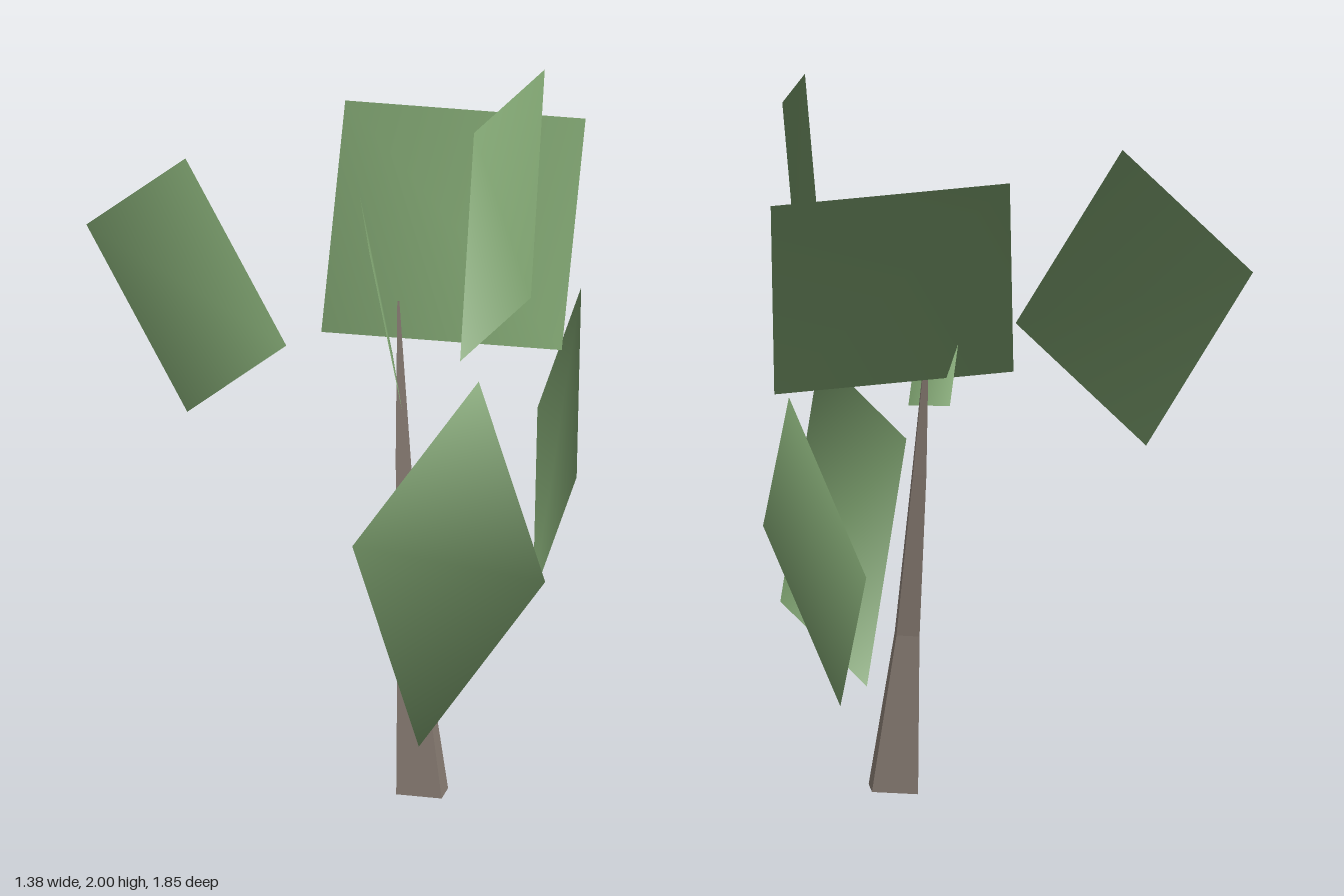
import * as THREE from 'three';

const leafMat = new THREE.MeshStandardMaterial({ name: 'leafGreen', color: 0x7a9d6c, side: THREE.DoubleSide });
const barkMat = new THREE.MeshStandardMaterial({ name: 'barkBrown', color: 0x857970, flatShading: true, side: THREE.DoubleSide });

// Leaf normals fan out from this point on the trunk for soft foliage shading
const heart = new THREE.Vector3(0.165, 0.75, 0.102);

// Flat parallelogram leaf from one corner and its two neighbours, split along the diagonal from that corner
function leaf(name, corner, a, b) {
  const o = new THREE.Vector3(...corner);
  const u = new THREE.Vector3(...a).sub(o);
  const v = new THREE.Vector3(...b).sub(o);
  const geo = new THREE.PlaneGeometry(1, 1);
  const { position, normal } = geo.attributes;
  for (let i = 0; i < position.count; i++) {
    const p = o.clone().addScaledVector(u, position.getX(i) + 0.5).addScaledVector(v, position.getY(i) + 0.5);
    position.setXYZ(i, p.x, p.y, p.z);
    p.sub(heart).normalize();
    normal.setXYZ(i, p.x, p.y, p.z);
  }
  const mesh = new THREE.Mesh(geo, leafMat);
  mesh.name = name;
  return mesh;
}

// Leaning four-sided trunk, open at the ends, lofted through [x, y, z, size] rings
function trunk() {
  const rings = [
    [0.207, 0.005, 0.203, 1],
    [0.176, 0.45, 0.168, 0.5],
    [0.16, 0.92, 0.1, 0.29],
    [0.15, 1.35, 0.042, 0.04],
  ];
  const section = [[-0.077, 0.054], [0.047, 0.075], [0.073, -0.052], [-0.053, -0.073]];
  const pts = [];
  for (const [x, y, z, s] of rings)
    section.forEach(([dx, dz], i) => pts.push(x + dx * s, y + (i % 2 ? -0.005 : 0.005) * s, z + dz * s));
  const idx = [];
  for (let r = 0; r < rings.length - 1; r++)
    for (let i = 0; i < 4; i++) {
      const a = r * 4 + i, b = r * 4 + (i + 1) % 4;
      idx.push(a, b, b + 4, a, b + 4, a + 4);
    }
  const geo = new THREE.BufferGeometry();
  geo.setAttribute('position', new THREE.Float32BufferAttribute(pts, 3));
  geo.setIndex(idx);
  geo.computeVertexNormals();
  const mesh = new THREE.Mesh(geo, barkMat);
  mesh.name = 'trunk';
  return mesh;
}

export function createModel() {
  const tree = new THREE.Group();
  tree.name = 'tree';
  tree.add(
    trunk(),
    leaf('backTopLeaf', [0.03, 1.85, -0.365], [-0.053, 1.245, -0.105], [0.687, 1.807, -0.27]),
    leaf('topLeaf', [0.315, 1.915, 0.712], [0.283, 1.265, 0.612], [0.55, 2.0, 0.102]),
    leaf('frontLowLeaf', [-0.035, 0.8, 0.927], [0.17, 0.192, 0.597], [0.345, 1.185, 0.452]),
    leaf('leftBackLeaf', [0.687, 1.31, -0.457], [0.648, 0.842, -0.052], [0.597, 0.907, -0.927]),
    leaf('rightLeaf', [-0.69, 1.525, -0.275], [-0.42, 1.02, -0.148], [-0.447, 1.775, 0.19]),
    leaf('innerLeaf', [0.05, 1.63, -0.058], [0.147, 1.177, -0.17], [0.05, 1.527, 0.367]),
  );
  return tree;
}
